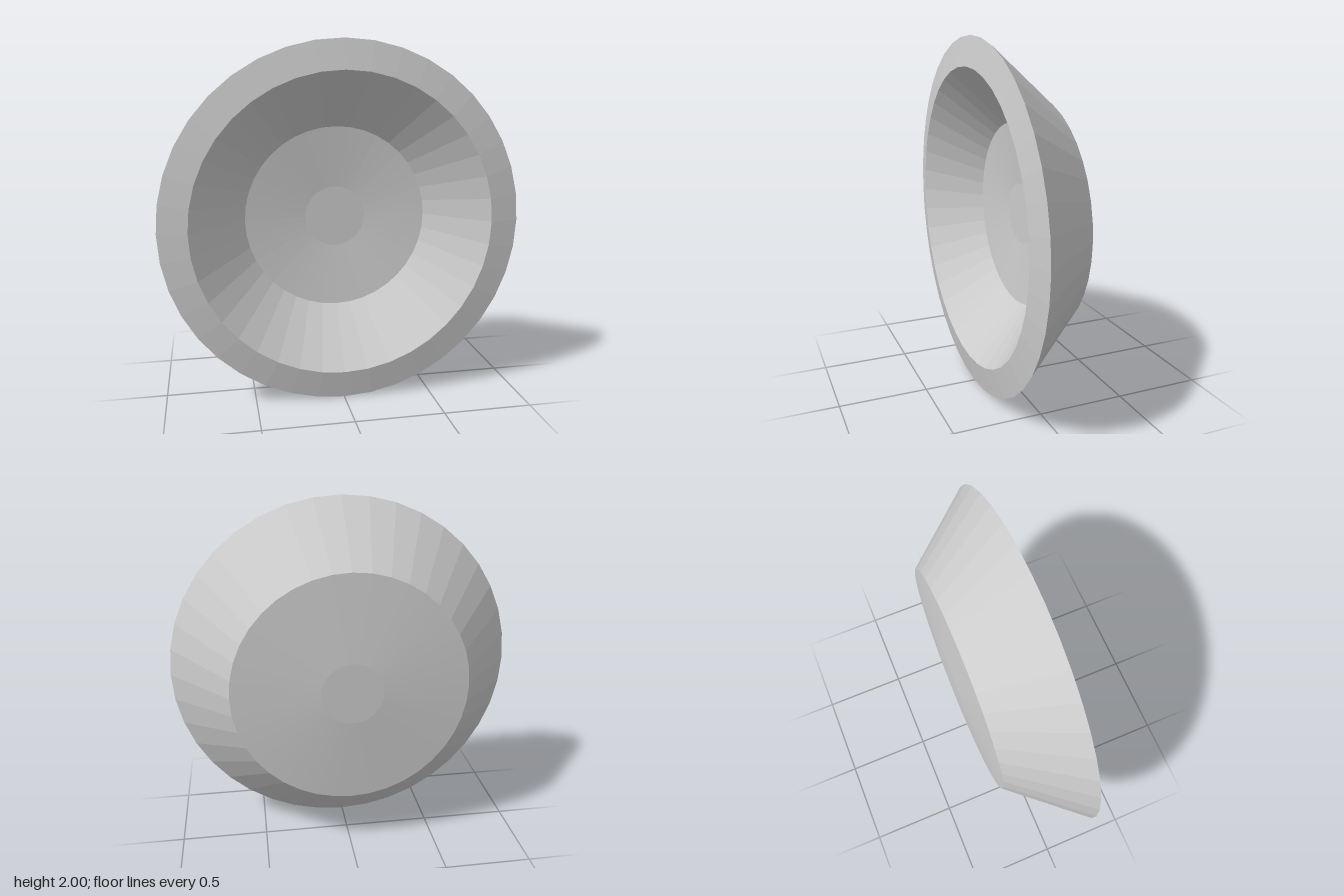
import * as THREE from 'three';

const SEGMENTS = 40;

// Spins a [radius, z] profile about the z axis and lifts it to stand on y = 0.
function ring(name, profile, material) {
  const points = profile.map(([r, z]) => new THREE.Vector2(r, z));
  const geometry = new THREE.LatheGeometry(points, SEGMENTS);
  geometry.rotateX(Math.PI / 2);
  geometry.translate(0, 1, 0);
  const mesh = new THREE.Mesh(geometry, material);
  mesh.name = name;
  return mesh;
}

export function createModel() {
  const group = new THREE.Group();
  group.name = 'dish';
  const material = new THREE.MeshStandardMaterial({ color: 0xcccccc, flatShading: true });

  // Profiles run from the back centre, around the rim, to the front centre.
  const parts = {
    base: [[0, -0.23], [0.175, -0.23], [0.665, -0.195]],
    outerWall: [[0.665, -0.195], [1, 0.2]],
    rim: [[1, 0.2], [0.838, 0.23]],
    innerWall: [[0.838, 0.23], [0.525, -0.06]],
    floor: [[0.525, -0.06], [0.175, -0.095], [0, -0.095]],
  };
  for (const [name, profile] of Object.entries(parts)) group.add(ring(name, profile, material));
  return group;
}
